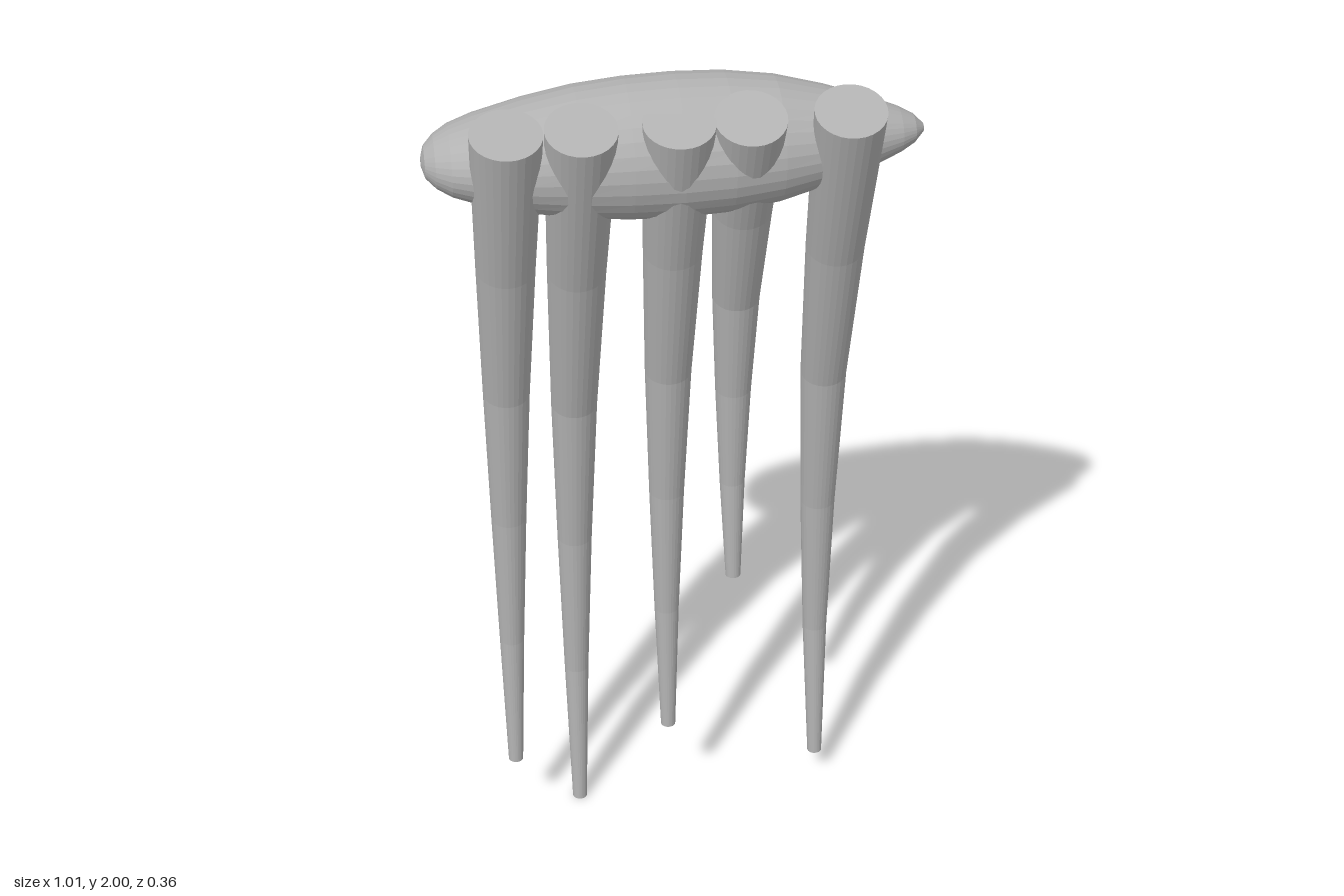
import * as THREE from 'three';

// Closed, faceted skin through rings of equal point count, with end caps.
function loft(rings) {
  const n = rings[0].length, last = rings.length - 1;
  const pos = [], idx = [];
  const add = (p) => pos.push(p.x, p.y, p.z) / 3 - 1;
  rings.forEach((ring) => ring.forEach(add));
  const centre = (ring) =>
    ring.reduce((s, p) => s.add(p), new THREE.Vector3()).divideScalar(n);
  const first = add(centre(rings[0])), end = add(centre(rings[last]));
  for (let j = 0; j < n; j++) {
    const k = (j + 1) % n;
    for (let i = 0; i < last; i++) {
      const a = i * n + j, b = i * n + k, c = a + n, d = b + n;
      idx.push(a, b, c, b, d, c);
    }
    idx.push(first, k, j, end, last * n + j, last * n + k);
  }
  const geo = new THREE.BufferGeometry();
  geo.setAttribute('position', new THREE.Float32BufferAttribute(pos, 3));
  geo.setIndex(idx);
  const flat = geo.toNonIndexed();
  flat.computeVertexNormals();
  return flat;
}

// Ring counter-clockwise about the direction u x v.
function ring(center, u, v, n) {
  return Array.from({ length: n }, (_, j) => {
    const a = (j / n) * Math.PI * 2;
    return center.clone().addScaledVector(u, Math.cos(a)).addScaledVector(v, Math.sin(a));
  });
}

// Spindle-shaped handle, blunt at -x and pointed at +x: [x, half height, half depth]
const BODY = [
  [-0.507, 0.008, 0.01], [-0.5, 0.03, 0.04], [-0.48, 0.05, 0.066], [-0.45, 0.067, 0.09],
  [-0.4, 0.084, 0.11], [-0.3, 0.11, 0.13], [-0.2, 0.13, 0.141], [-0.1, 0.14, 0.147],
  [0, 0.143, 0.149], [0.1, 0.139, 0.146], [0.2, 0.125, 0.133], [0.3, 0.098, 0.11],
  [0.4, 0.064, 0.077], [0.45, 0.044, 0.054], [0.48, 0.028, 0.034], [0.5, 0.008, 0.01],
];

// Claws: [top x, tip x, tip y, backward sweep]
const CLAWS = [
  [-0.345, -0.375, 0.2, 0.195],
  [-0.2, -0.22, 0.005, 0.26],
  [-0.01, -0.01, 0.265, 0.195],
  [0.13, 0.14, 0.7, 0.195],
  [0.327, 0.36, 0.08, 0.26],
];
// Share of the sweep reached at equal steps down the claw
const SWEEP = [0, 0.48, 0.84, 0.98, 1, 0.89];

function clawGeometry([topX, tipX, tipY, sweep]) {
  const steps = SWEEP.length - 1;
  const points = SWEEP.map((s, i) => {
    const t = i / steps;
    return new THREE.Vector3(
      THREE.MathUtils.lerp(topX, tipX, t),
      THREE.MathUtils.lerp(1.965, tipY, t),
      0.11 - s * sweep);
  });
  const side = new THREE.Vector3(1, 0, 0);
  return loft(points.map((p, i) => {
    const dir = points[Math.min(i + 1, steps)].clone()
      .sub(points[Math.max(i - 1, 0)]).normalize();
    const v = dir.clone().cross(side).normalize();
    const u = v.clone().cross(dir);
    const r = THREE.MathUtils.lerp(0.072, 0.017, i / steps);
    return ring(p, u.multiplyScalar(r), v.multiplyScalar(r), 28);
  }));
}

export function createModel() {
  const model = new THREE.Group();
  model.name = 'clawGrip';
  const grey = new THREE.MeshStandardMaterial({ color: 0xb2b2b2 });
  grey.name = 'grey';

  // Handle
  const handle = new THREE.Mesh(loft(BODY.map(([x, h, d]) => ring(
    new THREE.Vector3(x, 1.857, -0.002),
    new THREE.Vector3(0, h, 0), new THREE.Vector3(0, 0, d), 32))), grey);
  handle.name = 'handle';
  model.add(handle);

  // Curved, tapering claws
  CLAWS.forEach((spec, i) => {
    const claw = new THREE.Mesh(clawGeometry(spec), grey);
    claw.name = `claw${i + 1}`;
    model.add(claw);
  });
  return model;
}
